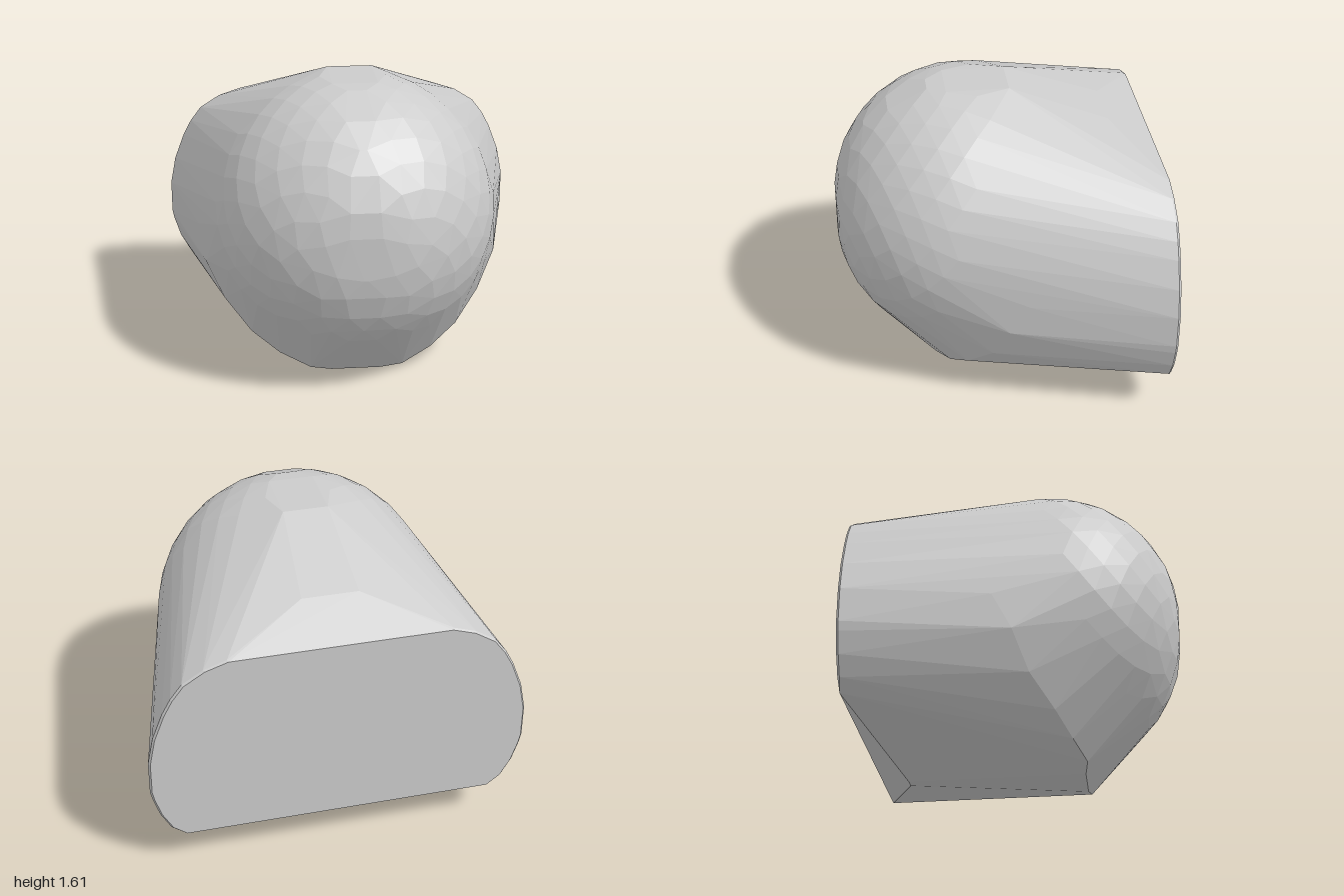
import * as THREE from 'three';
import { ConvexGeometry } from 'three/addons/geometries/ConvexGeometry.js';

export function createModel() {
  const group = new THREE.Group();
  const points = [];
  const addPair = (x, y, z) => {
    points.push(new THREE.Vector3(x, y, z), new THREE.Vector3(-x, y, z));
  };

  // Faceted dome: evenly spread points on a sphere, a little fuller at the shoulder
  const count = 420;
  for (let i = 0; i < count; i++) {
    const nz = 1 - (2 * (i + 0.5)) / count;
    const a = i * Math.PI * (3 - Math.sqrt(5));
    const ring = Math.sqrt(1 - nz * nz);
    const r = 0.762 + 0.05 * nz * ring;
    const x = r * ring * Math.cos(a);
    const y = 0.865 + r * ring * Math.sin(a);
    const z = 0.095 + r * nz;
    if (z > -0.08 && x >= 0) addPair(x, Math.min(y, 1.61), Math.min(z, 0.85));
  }

  // Flat crown and the ridge sloping to the back
  addPair(0.12, 1.61, 0.25);
  addPair(0.12, 1.61, -0.08);
  addPair(0.15, 1.41, -0.6);

  // Slanted chin edge, an elliptic arc from the belly up to the sides
  const chin = [
    [0, 0.33], [0.025, 0.345], [0.09, 0.28], [0.19, 0.2],
    [0.34, 0.08], [0.54, 0], [0.72, -0.1],
  ];
  for (const [y, z] of chin) {
    const t = (y - 0.75) / 0.76;
    addPair(0.84 * Math.sqrt(1 - t * t), y, z);
  }

  // Keel point of the belly
  addPair(0.03, 0.025, -0.62);

  // Flat back with a fine bevelled rim
  const back = [
    [0.82, 0.21], [0.9, 0.26], [0.955, 0.36], [0.99, 0.47], [1, 0.52], [1, 0.7],
    [0.97, 0.855], [0.915, 1], [0.87, 1.085], [0.81, 1.165], [0.7, 1.235], [0.58, 1.275],
  ];
  for (const [x, y] of back) {
    addPair(x, y, y < 0.25 ? -0.85 : -0.838);
    addPair(x * 0.99, 0.74 + (y - 0.74) * 0.99, -0.85);
  }

  const body = new THREE.Mesh(
    new ConvexGeometry(points),
    new THREE.MeshStandardMaterial({ color: 0xcccccc, flatShading: true })
  );
  body.name = 'domedBody';
  group.add(body);
  return group;
}
